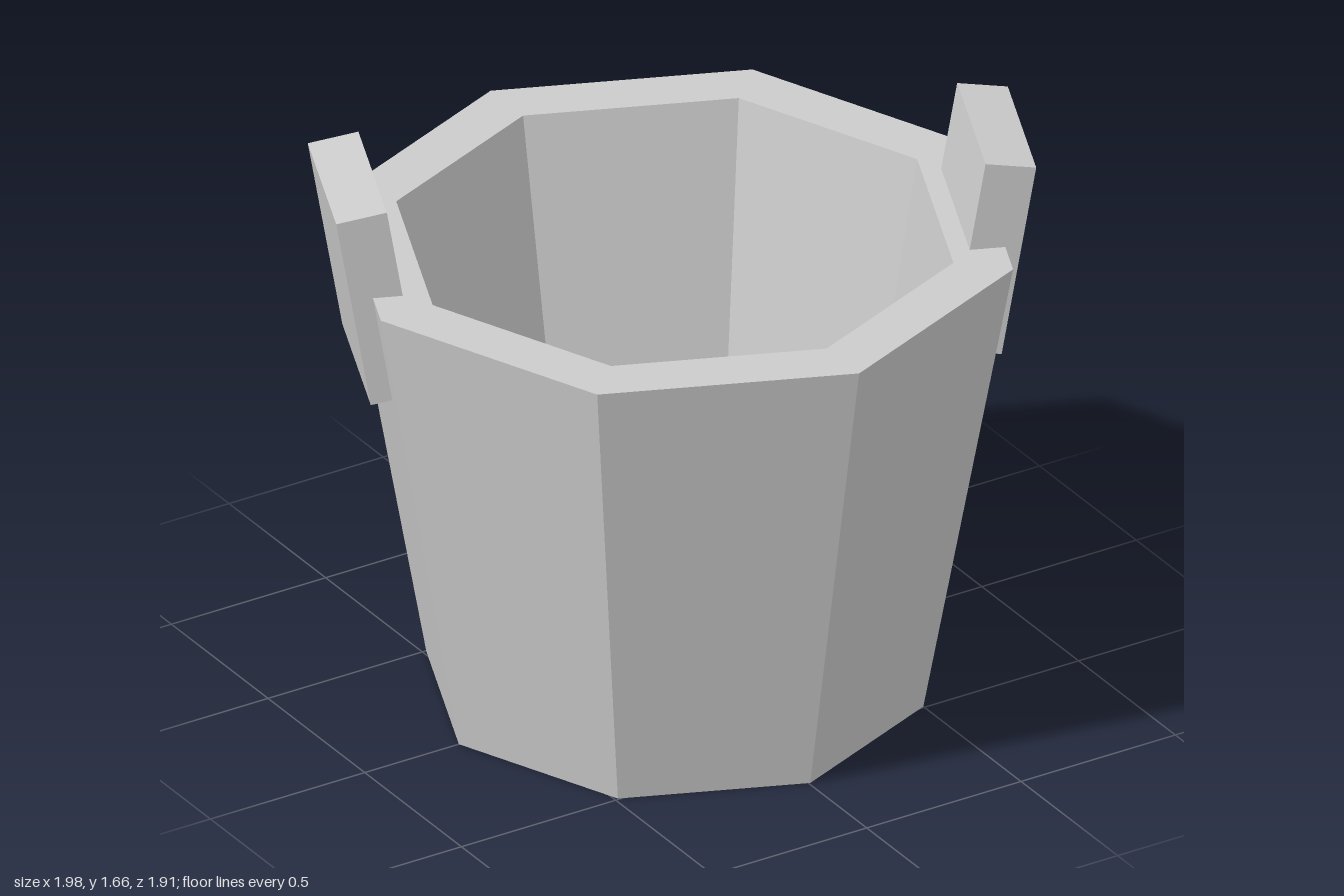
import * as THREE from 'three';

export function createModel() {
  const model = new THREE.Group();
  const material = new THREE.MeshStandardMaterial({ color: 0xcccccc, flatShading: true });

  // Eight-sided tapered tub: underside, outer wall, rim, inner wall, floor
  const profile = [
    [0, 0], [0.7, 0], [0.953, 1.4], [0.785, 1.4], [0.605, 0.38], [0, 0.38],
  ].map(([r, y]) => new THREE.Vector2(r, y));
  const bucket = new THREE.Mesh(new THREE.LatheGeometry(profile, 8), material);
  bucket.name = 'bucketBody';
  bucket.position.x = 0.005;
  model.add(bucket);

  // Upright lugs on two opposite faces, leaning outward with the wall
  const lugGeometry = new THREE.BoxGeometry(0.47, 0.583, 0.143);
  const addLug = (name, angle, radius) => {
    const lug = new THREE.Mesh(lugGeometry, material);
    lug.name = name;
    lug.rotation.set(0.166, angle, 0, 'YXZ');
    lug.position.set(0.005 + radius * Math.sin(angle), 1.365, radius * Math.cos(angle));
    model.add(lug);
  };
  const faceAngle = Math.PI * 3 / 8;
  addLug('leftHandleLug', faceAngle, 0.848);
  addLug('rightHandleLug', faceAngle + Math.PI, 0.864);

  return model;
}
